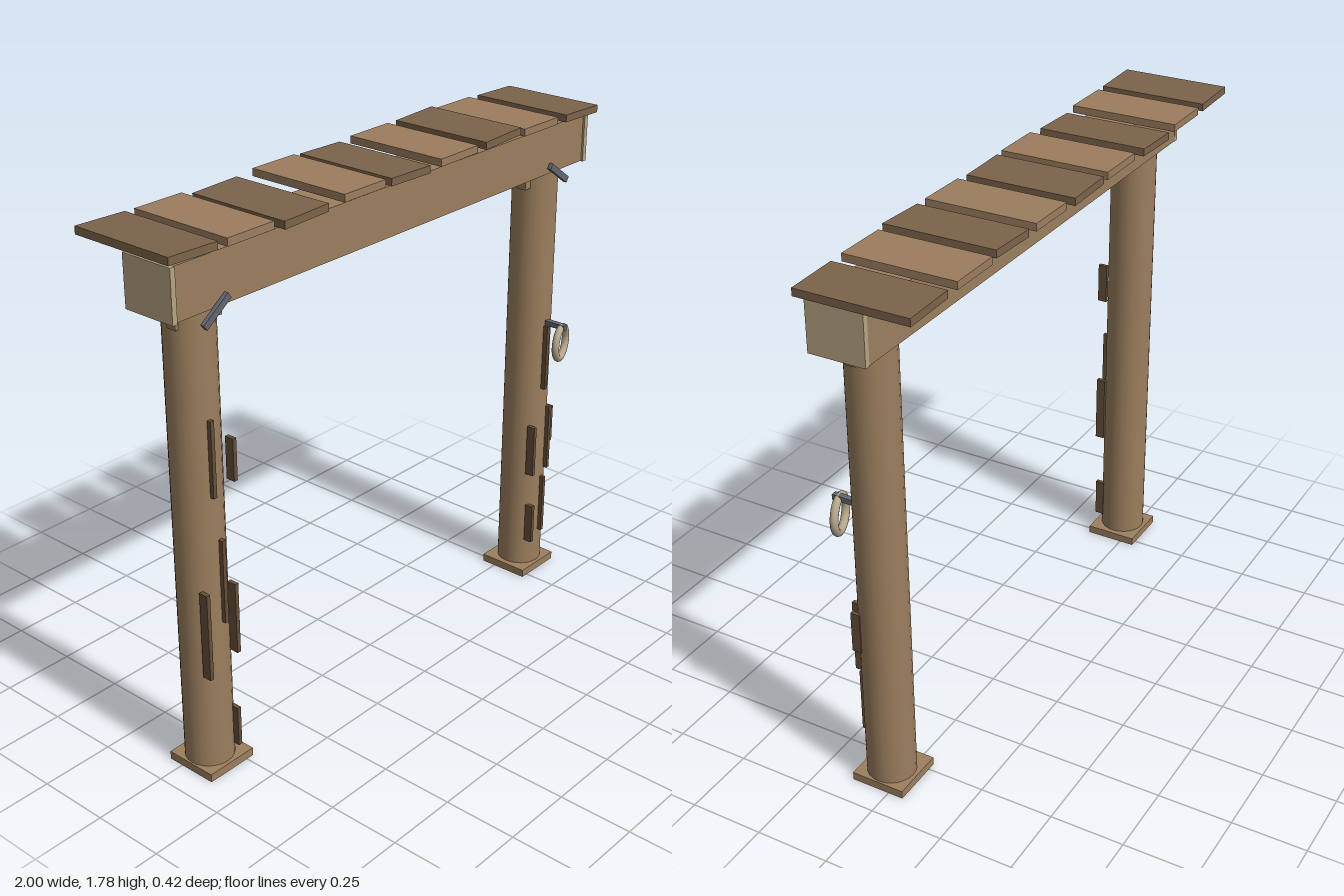
import * as THREE from 'three';

const mat = (color) => new THREE.MeshStandardMaterial({ color });

export function createModel() {
  const root = new THREE.Group();
  const wood = mat(0x9c7f5e), plankLight = mat(0x9c7d5e), plankDark = mat(0x7b634a);
  const grain = mat(0x66503a), endWood = mat(0xb8a582), iron = mat(0x62666f), rope = mat(0xb5a688);

  const add = (name, geometry, material, x, y, z, rz = 0) => {
    const mesh = new THREE.Mesh(geometry, material);
    mesh.name = name;
    mesh.position.set(x, y, z);
    mesh.rotation.z = rz;
    root.add(mesh);
    return mesh;
  };
  const box = (name, w, h, d, material, x, y, z, rz) =>
    add(name, new THREE.BoxGeometry(w, h, d), material, x, y, z, rz);

  // Posts with foot plates, pegs and iron straps
  for (const side of [-1, 1]) {
    const x = side * 0.822;
    add('post', new THREE.CylinderGeometry(0.079, 0.08, 1.56, 24), wood, x, 0.8, 0.04);
    box('footPlate', 0.185, 0.028, 0.185, wood, side * 0.815, 0.014, 0.04);
    box('innerPeg', 0.035, 0.07, 0.036, wood, side * 0.737, 1.545, 0.055, side * 0.12);
    box('outerPeg', 0.02, 0.06, 0.036, wood, side * 0.897, 1.545, 0.055, -side * 0.12);
    box('ironStrap', 0.12, 0.022, 0.014, iron, side * 0.812, 1.565, 0.142, -side * 0.62);
  }

  // Beam with pale end caps
  box('beam', 1.93, 0.165, 0.182, wood, 0.005, 1.652, 0.04);
  for (const x of [-0.962, 0.971]) box('beamEnd', 0.018, 0.168, 0.19, endWood, x, 1.652, 0.043);

  // Roof planks: centre x, centre y, tilt
  const planks = [
    [-0.907, 1.766, -0.03], [-0.687, 1.762, 0], [-0.46, 1.752, 0.03],
    [-0.208, 1.764, 0], [0.003, 1.758, -0.02], [0.24, 1.764, 0.01],
    [0.467, 1.768, 0.04], [0.672, 1.761, 0], [0.905, 1.755, -0.025],
  ];
  planks.forEach(([x, y, tilt], i) =>
    box('plank', 0.184, 0.025, 0.375, i % 2 ? plankLight : plankDark, x, y, -0.024, tilt));

  // Raised grain strips: x, bottom, top, centre z
  const strips = [
    [-0.835, 0.98, 1.23, 0.115], [-0.745, 1.0, 1.14, 0.11], [-0.812, 0.545, 0.83, 0.118],
    [-0.882, 0.37, 0.67, 0.115], [-0.767, 0.415, 0.66, 0.118], [-0.774, 0.07, 0.21, 0.115],
    [0.812, 0.75, 0.995, 0.119], [0.763, 0.415, 0.61, 0.117], [0.853, 0.415, 0.665, 0.115],
    [0.884, 0.51, 0.65, 0.1], [0.83, 0.16, 0.385, 0.119], [0.775, 0.13, 0.28, 0.115],
  ];
  for (const [x, bottom, top, z] of strips)
    box('grainStrip', 0.014, top - bottom, 0.032, grain, x, (bottom + top) / 2, z);

  // Hanging ring on an iron hook
  box('hook', 0.02, 0.018, 0.09, iron, 0.822, 1.005, 0.155);
  const ring = add('ring', new THREE.TorusGeometry(0.057, 0.013, 10, 32), rope, 0.82, 0.945, 0.183);
  ring.rotation.y = 0.3;

  return root;
}
